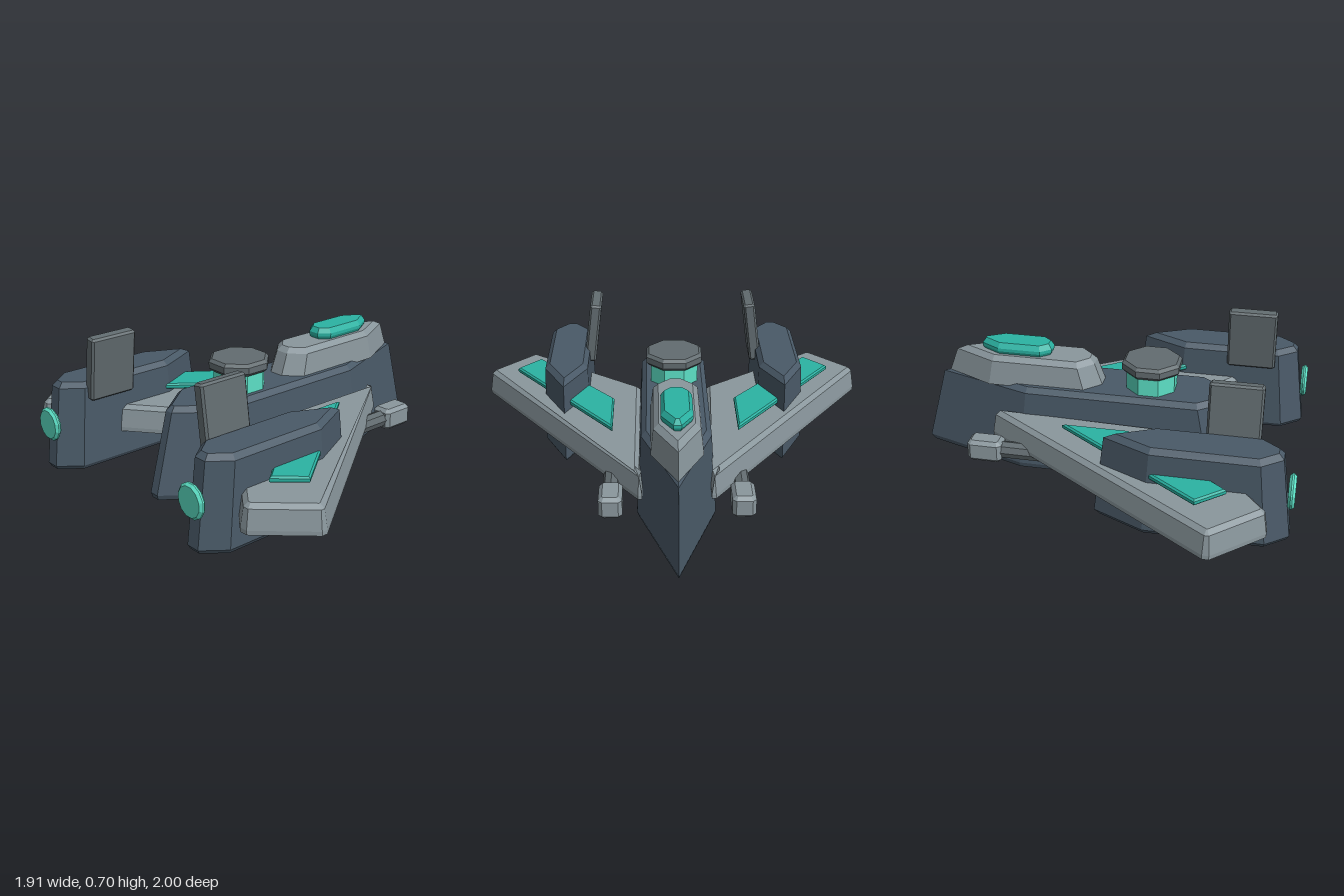
import * as THREE from 'three';

const paint = (color) => new THREE.MeshStandardMaterial({ color, flatShading: true, roughness: 0.8 });
const HULL = paint(0x4a5a68), PLATE = paint(0x8a979d), STEEL = paint(0x626c70);
const TEAL = paint(0x2bb3a3), GLOW = paint(0x5ce0c6);

// Shrinks a counter-clockwise outline inwards by d with mitred corners
function inset(pts, d) {
  const n = pts.length;
  return pts.map((p, i) => {
    const a = p.clone().sub(pts[(i + n - 1) % n]).normalize();
    const b = pts[(i + 1) % n].clone().sub(p).normalize();
    const m = new THREE.Vector2(-a.y - b.y, a.x + b.x);
    return p.clone().addScaledVector(m, d / (1 + a.dot(b)));
  });
}

// Solid lofted upwards from an (x, z) outline; each level is [y, scale, inset]
function loft(outline, levels) {
  const base = outline.map(([x, z]) => new THREE.Vector2(x, z));
  if (THREE.ShapeUtils.area(base) < 0) base.reverse();
  const box = new THREE.Box2().setFromPoints(base);
  const mid = box.getCenter(new THREE.Vector2());
  const rings = levels.map(([y, s, d]) =>
    inset(base.map((p) => p.clone().sub(mid).multiplyScalar(s).add(mid)), d)
      .map((p) => [p.x, y, p.y]));
  const pos = [];
  const tri = (a, b, c) => pos.push(...a, ...b, ...c);
  const n = base.length;
  for (let k = 0; k + 1 < rings.length; k++) {
    for (let i = 0; i < n; i++) {
      const j = (i + 1) % n, lo = rings[k], hi = rings[k + 1];
      tri(lo[i], hi[i], lo[j]);
      tri(lo[j], hi[i], hi[j]);
    }
  }
  const bottom = rings[0], top = rings[rings.length - 1];
  for (const [a, b, c] of THREE.ShapeUtils.triangulateShape(base, [])) {
    tri(bottom[a], bottom[b], bottom[c]);
    tri(top[c], top[b], top[a]);
  }
  const g = new THREE.BufferGeometry();
  g.setAttribute('position', new THREE.Float32BufferAttribute(pos, 3));
  g.computeVertexNormals();
  return g;
}

// Box with chamfered edges all round
function chamferBox(w, h, d, c) {
  const x = w / 2, z = d / 2;
  const outline = [[x, z - c], [x - c, z], [c - x, z], [-x, z - c], [-x, c - z], [c - x, -z], [x - c, -z], [x, c - z]];
  return loft(outline, [[-h / 2, 1, c], [c - h / 2, 1, 0], [h / 2 - c, 1, 0], [h / 2, 1, c]]);
}

// Faceted disc with bevelled rims, axis along y
function disc(r, h, c, sides) {
  const p = [[0, -h / 2], [r - c, -h / 2], [r, c - h / 2], [r, h / 2 - c], [r - c, h / 2], [0, h / 2]];
  return new THREE.LatheGeometry(p.map(([x, y]) => new THREE.Vector2(x, y)), sides, Math.PI / sides);
}

// Outline symmetric about z = 0, from its half with z > 0 plus tips on the axis
const symmetric = (half) => [...half, ...half.filter((p) => p[1] > 0).reverse().map(([x, z]) => [x, -z])];

export function createModel() {
  const root = new THREE.Group();
  const add = (name, geometry, material, x = 0, y = 0, z = 0, parent = root) => {
    const m = new THREE.Mesh(geometry, material);
    m.name = name;
    m.position.set(x, y, z);
    parent.add(m);
    return m;
  };

  // Pointed central hull, cabin and canopy
  add('hull', loft(symmetric([[0.955, 0], [0.42, 0.187], [-0.54, 0.187], [-0.74, 0.025]]),
    [[0, 1, 0.008], [0.025, 1, 0], [0.41, 0.88, 0], [0.435, 0.88, 0.025]]), HULL);
  add('cabin', loft(symmetric([[0.82, 0], [0.58, 0.12], [0.1, 0.12], [0.02, 0.04]]),
    [[0.42, 1, 0], [0.54, 0.89, 0], [0.565, 0.89, 0.025]]), PLATE);
  add('canopy', loft(symmetric([[0.635, 0.018], [0.54, 0.073], [0.33, 0.073], [0.28, 0.03]]),
    [[0.56, 1, 0.01], [0.58, 1, 0], [0.595, 1, 0], [0.62, 1, 0.017]]), TEAL);

  // Turret on the rear deck
  add('turretNeck', new THREE.CylinderGeometry(0.127, 0.127, 0.11, 8, 1, false, Math.PI / 8), GLOW, -0.215, 0.48, 0);
  add('turretCap', disc(0.15, 0.06, 0.015, 8), STEEL, -0.215, 0.555, 0);

  for (const s of [1, -1]) {
    const side = new THREE.Group();
    side.name = s > 0 ? 'rightWingAssembly' : 'leftWingAssembly';
    root.add(side);
    const flip = (pts) => pts.map(([x, z]) => [x, z * s]);

    // Swept wing with its long inlaid panel
    add('wing', loft(flip([[0.55, 0.16], [0.55, 0.18], [-0.6, 1], [-0.63, 1], [-0.85, 0.79], [-0.85, 0.75], [-0.4, 0.16]]),
      [[0.17, 1, 0], [0.19, 1, 0], [0.28, 1, 0.014], [0.3, 1, 0.035]]), PLATE, 0, 0, 0, side);
    add('wingPanel', loft(flip([[0.165, 0.305], [-0.16, 0.305], [-0.665, 0.72], [-0.54, 0.835]]),
      [[0.318, 1, 0.004], [0.323, 1, 0], [0.337, 1, 0], [0.345, 1, 0.008]]), TEAL, 0, 0, 0, side);

    // Engine pod with exhaust disc and canted fin
    add('enginePod', loft(symmetric([[-0.045, 0], [-0.29, 0.12], [-0.84, 0.12], [-0.945, 0.035]]),
      [[0.03, 1, 0.012], [0.05, 1, 0], [0.44, 0.88, -0.004], [0.465, 0.88, 0.02]]), HULL, 0, 0, 0.555 * s, side);
    add('exhaust', disc(0.083, 0.032, 0.012, 12), GLOW, -0.94, 0.264, 0.55 * s, side).rotation.z = Math.PI / 2;
    add('fin', chamferBox(0.245, 0.32, 0.06, 0.01), STEEL, -0.662, 0.537, 0.425 * s, side).rotation.x = -0.125 * s;

    // Gun slung under the leading edge
    const barrel = add('gunBarrel', new THREE.CylinderGeometry(0.042, 0.042, 0.28, 8), STEEL, 0.335, 0.167, 0.305 * s, side);
    barrel.rotation.z = -Math.PI / 2;
    add('gunMuzzle', chamferBox(0.17, 0.11, 0.11, 0.018), PLATE, 0.548, 0.167, 0.305 * s, side);
  }
  return root;
}
